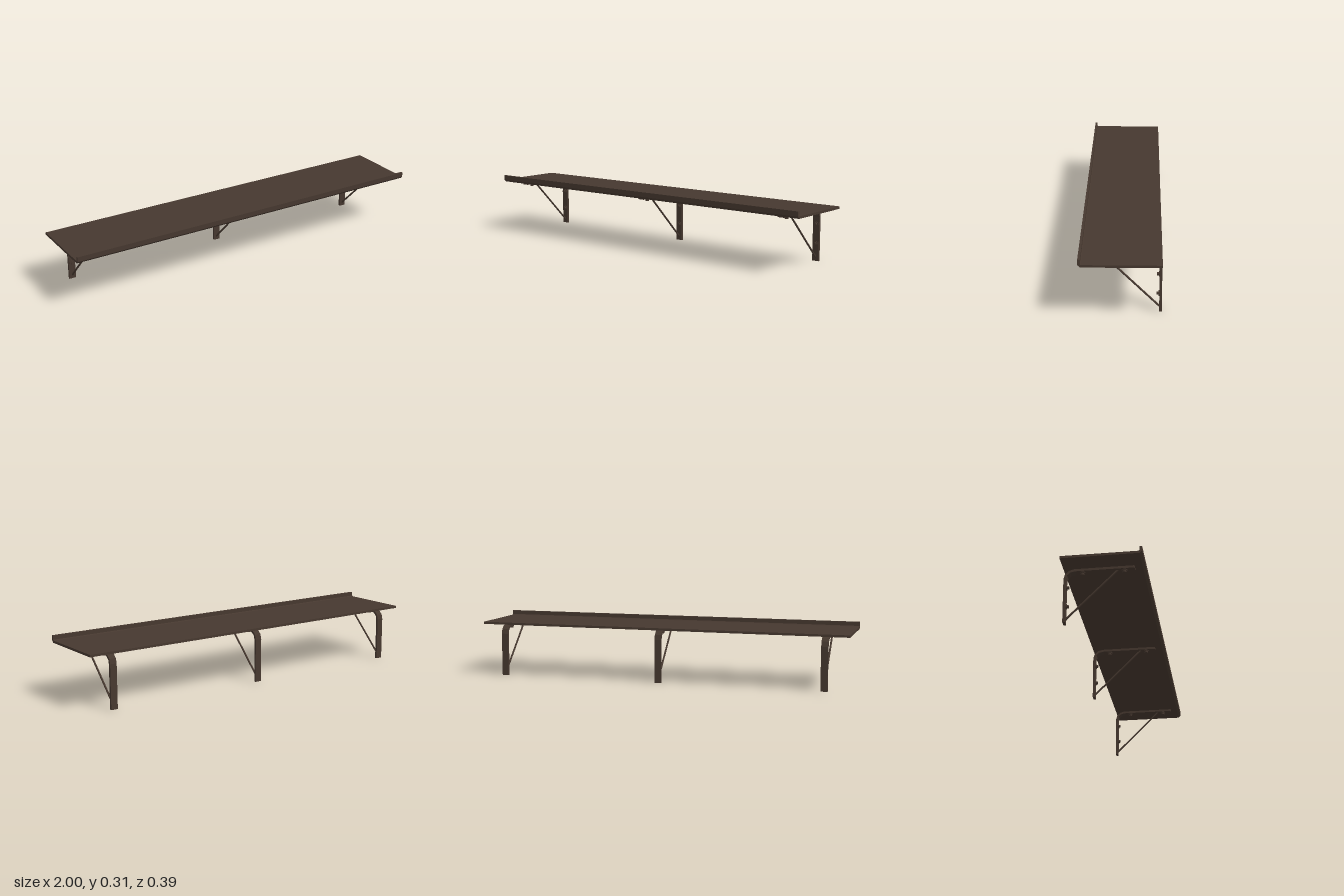
import * as THREE from 'three';

const bronze = new THREE.MeshStandardMaterial({ color: 0x46382f });
bronze.name = 'dark bronze';

// Extrudes a [z, y] side profile along x, centred on x = 0
function profileMesh(name, points, width) {
  const shape = new THREE.Shape(points.map(([z, y]) => new THREE.Vector2(-z, y)));
  const geo = new THREE.ExtrudeGeometry(shape, { depth: width, bevelEnabled: false });
  geo.translate(0, 0, -width / 2);
  geo.rotateY(Math.PI / 2);
  const mesh = new THREE.Mesh(geo, bronze);
  mesh.name = name;
  return mesh;
}

// Washer and hex head, pointing along +y from the origin
function makeBolt() {
  const bolt = new THREE.Group();
  bolt.name = 'bolt';
  const washer = new THREE.Mesh(new THREE.CylinderGeometry(0.0135, 0.0135, 0.004, 20), bronze);
  washer.name = 'washer';
  washer.position.y = 0.002;
  const head = new THREE.Mesh(new THREE.CylinderGeometry(0.009, 0.009, 0.009, 6), bronze);
  head.name = 'boltHead';
  head.position.y = 0.0083;
  bolt.add(washer, head);
  return bolt;
}

function makeBracket(x) {
  const bracket = new THREE.Group();
  bracket.name = 'bracket';
  bracket.position.x = x;

  // Flat bar bent from the shelf down the wall
  bracket.add(profileMesh('bentStrap', [
    [0.145, 0.278], [-0.142, 0.278], [-0.167, 0.271], [-0.186, 0.253], [-0.193, 0.228], [-0.193, 0],
    [-0.181, 0], [-0.181, 0.226], [-0.176, 0.247], [-0.161, 0.261], [-0.14, 0.266], [0.145, 0.266],
  ], 0.036));

  // Diagonal rod
  const start = new THREE.Vector3(0, 0.27, 0.066);
  const end = new THREE.Vector3(0, 0.016, -0.187);
  const dir = end.clone().sub(start);
  const brace = new THREE.Mesh(new THREE.CylinderGeometry(0.0048, 0.0048, dir.length(), 12), bronze);
  brace.name = 'diagonalBrace';
  brace.position.copy(start).add(end).multiplyScalar(0.5);
  brace.quaternion.setFromUnitVectors(new THREE.Vector3(0, 1, 0), dir.normalize());
  bracket.add(brace);

  // Bolts under the shelf and into the wall
  for (const z of [0.095, -0.105]) {
    const bolt = makeBolt();
    bolt.position.set(0, 0.266, z);
    bolt.rotation.x = Math.PI;
    bracket.add(bolt);
  }
  for (const y of [0.189, 0.089]) {
    const bolt = makeBolt();
    bolt.position.set(0, y, -0.181);
    bolt.rotation.x = Math.PI / 2;
    bracket.add(bolt);
  }
  return bracket;
}

export function createModel() {
  const model = new THREE.Group();
  model.name = 'wallShelf';

  // Shelf sheet with upturned front lip
  model.add(profileMesh('shelf', [
    [-0.193, 0.278], [0.182, 0.278], [0.194, 0.29], [0.194, 0.315],
    [0.182, 0.315], [0.182, 0.294], [0.178, 0.29], [-0.193, 0.29],
  ], 2));

  for (const x of [-0.875, 0, 0.875]) model.add(makeBracket(x));
  return model;
}
